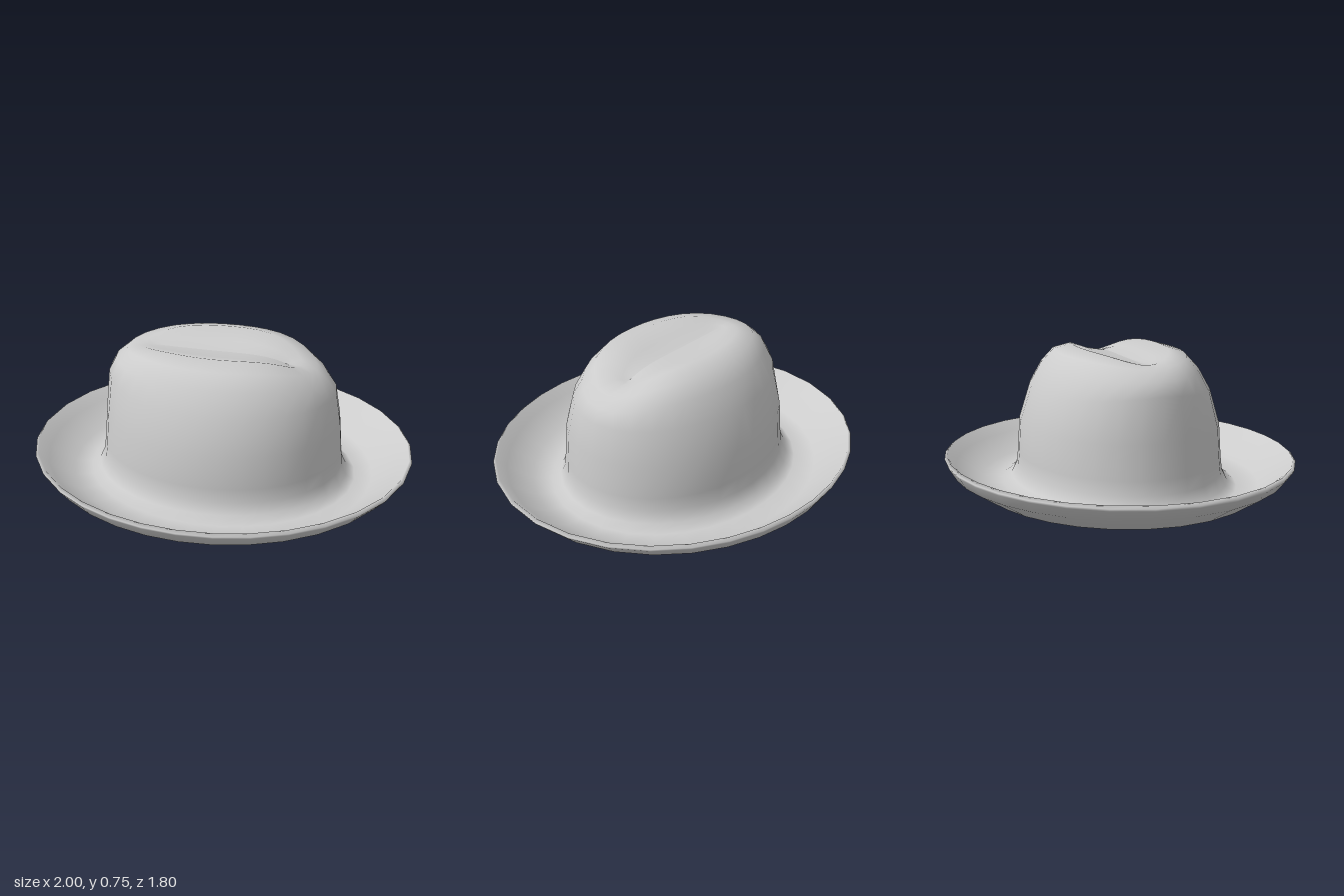
import * as THREE from 'three';

const SEGMENTS = 32;

// Crown rings, bottom to top: radius at -x, radius at +x, radius in z,
// then height at the -x end, at the +x end and at the sides.
const CROWN = [
  [0.630, 0.635, 0.515, 0.19, 0.19, 0.19],
  [0.615, 0.620, 0.505, 0.36, 0.36, 0.36],
  [0.595, 0.592, 0.445, 0.58, 0.53, 0.54],
  [0.560, 0.550, 0.380, 0.645, 0.59, 0.65],
  [0.500, 0.490, 0.315, 0.695, 0.645, 0.72],
  [0.420, 0.410, 0.220, 0.705, 0.66, 0.747],
  [0.380, 0.370, 0.110, 0.70, 0.66, 0.712],
  [0.340, 0.340, 0.000, 0.70, 0.66, 0.697],
];

// Brim rings from the opening, out under the brim, over the rim and back in: rx, rz, y
const BRIM = [
  [0.610, 0.500, 0.07],
  [0.620, 0.512, 0.025],
  [0.645, 0.540, 0.004],
  [0.720, 0.620, 0.000],
  [0.800, 0.720, 0.015],
  [0.940, 0.860, 0.105],
  [0.995, 0.895, 0.163],
  [1.000, 0.900, 0.175],
  [0.985, 0.885, 0.187],
  [0.930, 0.845, 0.130],
  [0.800, 0.720, 0.045],
  [0.710, 0.600, 0.035],
  [0.665, 0.550, 0.065],
  [0.640, 0.522, 0.120],
].map(([rx, rz, y]) => [rx, rx, rz, y, y, y]);

// Felt lining: the crown moved inwards
const LINING = CROWN.map(([back, front, side, ...heights]) => [
  back - 0.02, front - 0.02, Math.max(side - 0.02, 0), ...heights.map((y) => y - 0.02),
]).reverse();

// Skin a list of oval rings into one smooth surface
function skinRings(rings) {
  const positions = [];
  const index = [];
  rings.forEach(([back, front, side, yBack, yFront, ySide], i) => {
    for (let j = 0; j < SEGMENTS; j++) {
      // near-even spacing as seen from above
      const a = (j / SEGMENTS) * Math.PI * 2;
      const t = Math.atan2(Math.sin(a) / 0.87, Math.cos(a));
      const c = Math.cos(t);
      const end = c ** 4;
      positions.push(
        c * (c > 0 ? front : back),
        ySide + ((c > 0 ? yFront : yBack) - ySide) * end,
        Math.sin(t) * side,
      );
      if (i < rings.length - 1) {
        const p = i * SEGMENTS + j;
        const q = i * SEGMENTS + ((j + 1) % SEGMENTS);
        index.push(p, p + SEGMENTS, q, q, p + SEGMENTS, q + SEGMENTS);
      }
    }
  });
  const geometry = new THREE.BufferGeometry();
  geometry.setAttribute('position', new THREE.Float32BufferAttribute(positions, 3));
  geometry.setIndex(index);
  geometry.computeVertexNormals();
  return geometry;
}

export function createModel() {
  const hat = new THREE.Group();
  hat.name = 'hat';
  const felt = new THREE.MeshStandardMaterial({ color: 0xcccccc, side: THREE.DoubleSide });

  // Lining, brim and creased crown form one continuous felt shell
  const shell = new THREE.Mesh(skinRings([...LINING, ...BRIM, ...CROWN]), felt);
  shell.name = 'feltShell';
  hat.add(shell);
  return hat;
}
